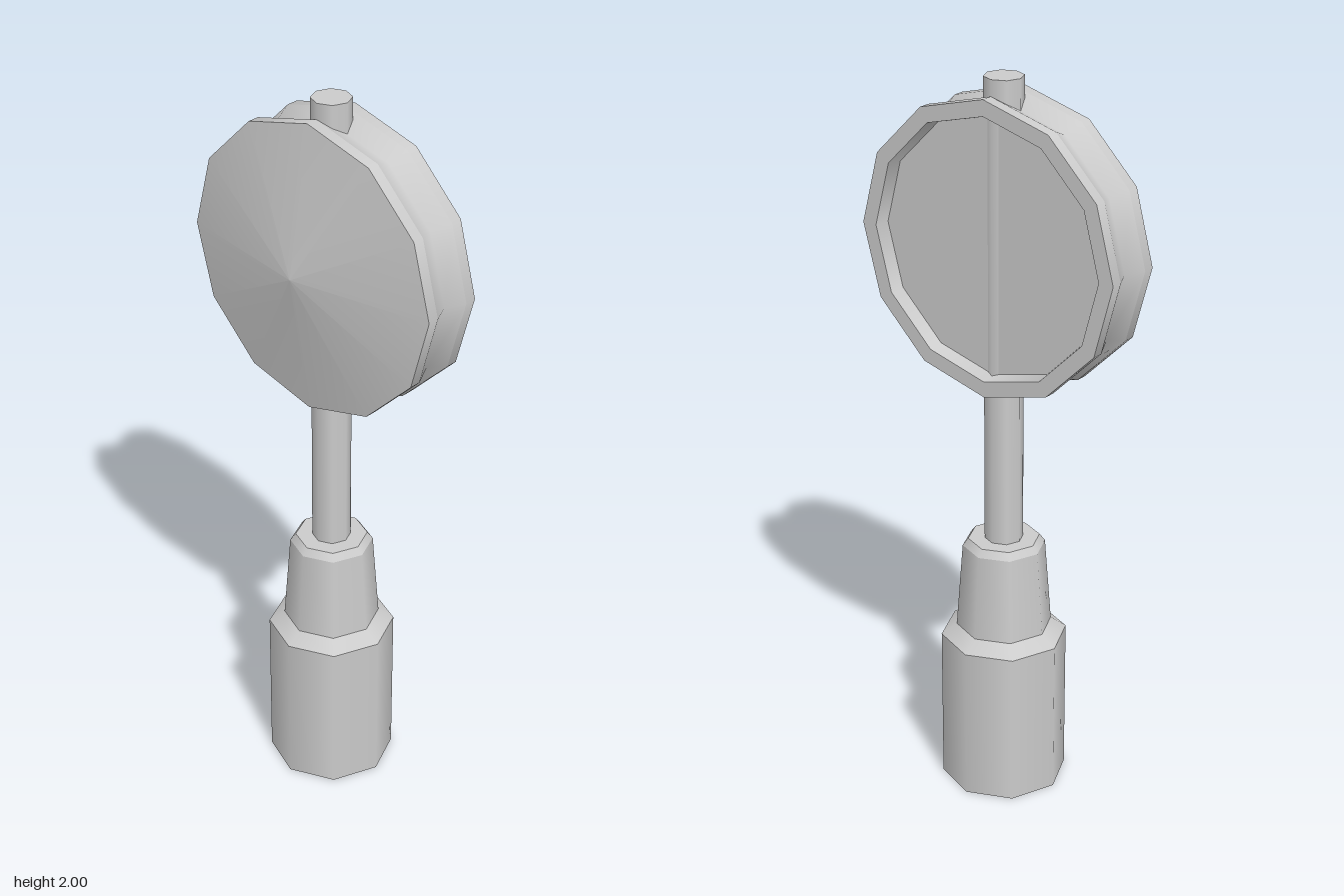
import * as THREE from 'three';
import { mergeGeometries } from 'three/addons/utils/BufferGeometryUtils.js';

const material = new THREE.MeshStandardMaterial({ color: 0xcccccc });

// Revolves several profiles of [radius, height]; each is smooth, with sharp edges between them
function turned(name, sides, profiles) {
  const parts = profiles.map((profile) =>
    new THREE.LatheGeometry(profile.map(([r, y]) => new THREE.Vector2(r, y)), sides));
  const mesh = new THREE.Mesh(mergeGeometries(parts), material);
  mesh.name = name;
  return mesh;
}

// Splits a profile into single straight segments, so every corner is sharp
const segments = (points) => points.slice(1).map((p, i) => [points[i], p]);

export function createModel() {
  const group = new THREE.Group();
  group.name = 'discOnHandle';

  // Eight-sided grip with a tapered collar
  group.add(turned('handle', 8, segments([
    [0, 0], [0.172, 0], [0.172, 0.44], [0.13, 0.47],
    [0.112, 0.71], [0.097, 0.73], [0, 0.73],
  ])));

  // Thin rod running up through the disc
  group.add(turned('shaft', 8, segments([
    [0, 0.7], [0.052, 0.7], [0.052, 2], [0, 2],
  ])));

  // Twelve-sided disc: recessed back, grooved rim, shallow pointed front
  const R = 0.395;
  const disc = turned('disc', 12, [
    ...segments([[0, -0.045], [0.345, -0.045], [0.352, -0.085], [R, -0.085], [R, -0.053]]),
    [[R, -0.053], [0.37, 0], [R, 0.053]],
    ...segments([[R, 0.053], [R, 0.085], [0, 0.152]]),
  ]);
  disc.rotation.x = Math.PI / 2;
  disc.position.y = 1.563;
  group.add(disc);

  return group;
}
